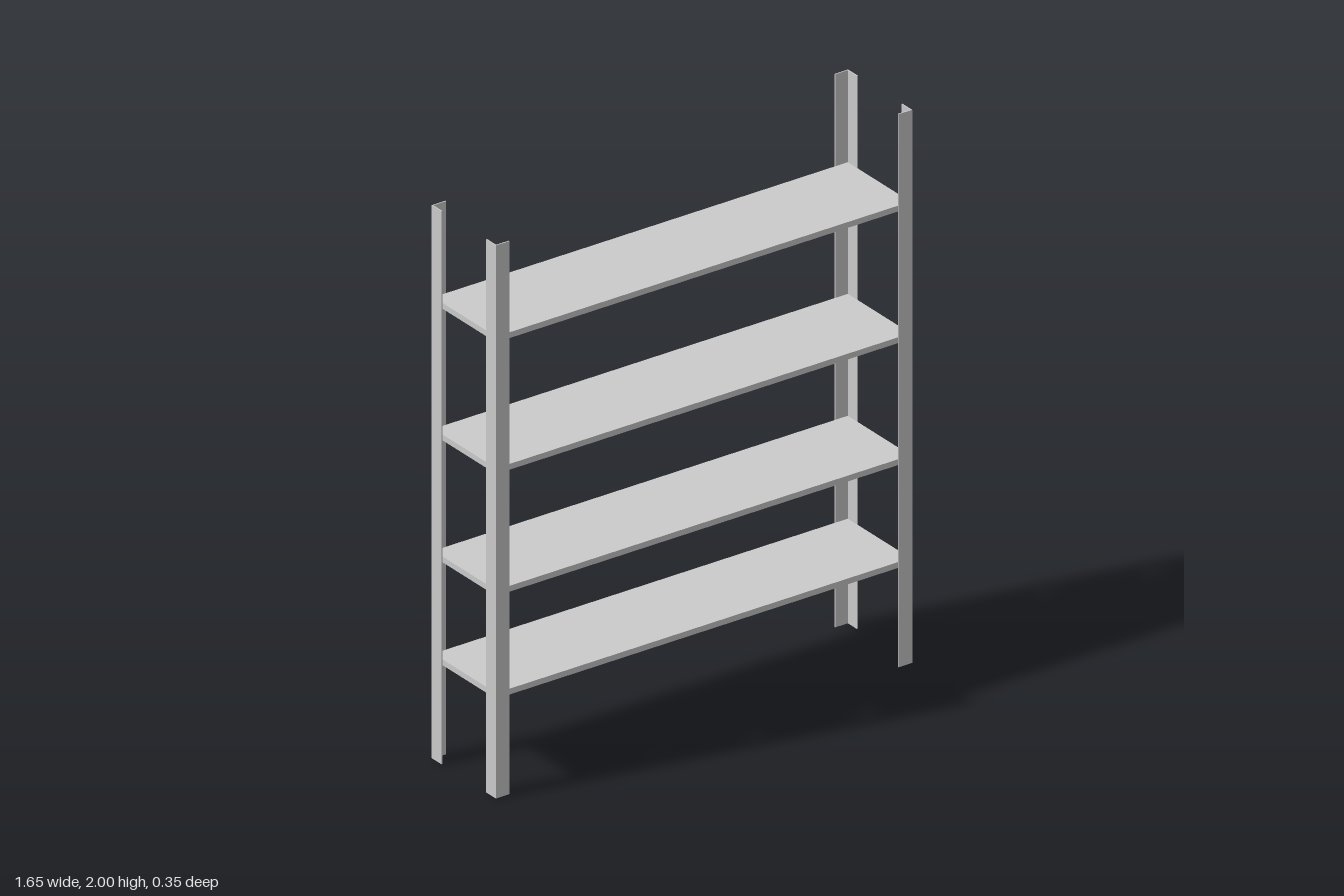
import * as THREE from 'three';

export function createModel() {
  const group = new THREE.Group();
  const material = new THREE.MeshStandardMaterial({ color: 0xcccccc, flatShading: true });

  const halfX = 0.827, halfZ = 0.177, height = 2;
  const flange = 0.054, steel = 0.004, shelfThickness = 0.021;

  // L-shaped angle posts, one per corner, open towards the middle
  for (const sx of [-1, 1]) {
    for (const sz of [-1, 1]) {
      const corners = [
        [0, 0], [flange, 0], [flange, steel], [steel, steel], [steel, flange], [0, flange],
      ].map(([a, b]) => new THREE.Vector2(sx * (halfX - a), -sz * (halfZ - b)));
      const geometry = new THREE.ExtrudeGeometry(new THREE.Shape(corners), {
        depth: height, bevelEnabled: false,
      });
      geometry.rotateX(-Math.PI / 2);
      const post = new THREE.Mesh(geometry, material);
      post.name = `${sz > 0 ? 'front' : 'back'}${sx > 0 ? 'Left' : 'Right'}Post`;
      group.add(post);
    }
  }

  // Shelves resting inside the angle posts
  const shelfGeometry = new THREE.BoxGeometry(
    2 * (halfX - steel), shelfThickness, 2 * (halfZ - steel));
  [0.368, 0.74, 1.181, 1.657].forEach((y, i) => {
    const shelf = new THREE.Mesh(shelfGeometry, material);
    shelf.name = `shelf${i + 1}`;
    shelf.position.y = y;
    group.add(shelf);
  });

  return group;
}
